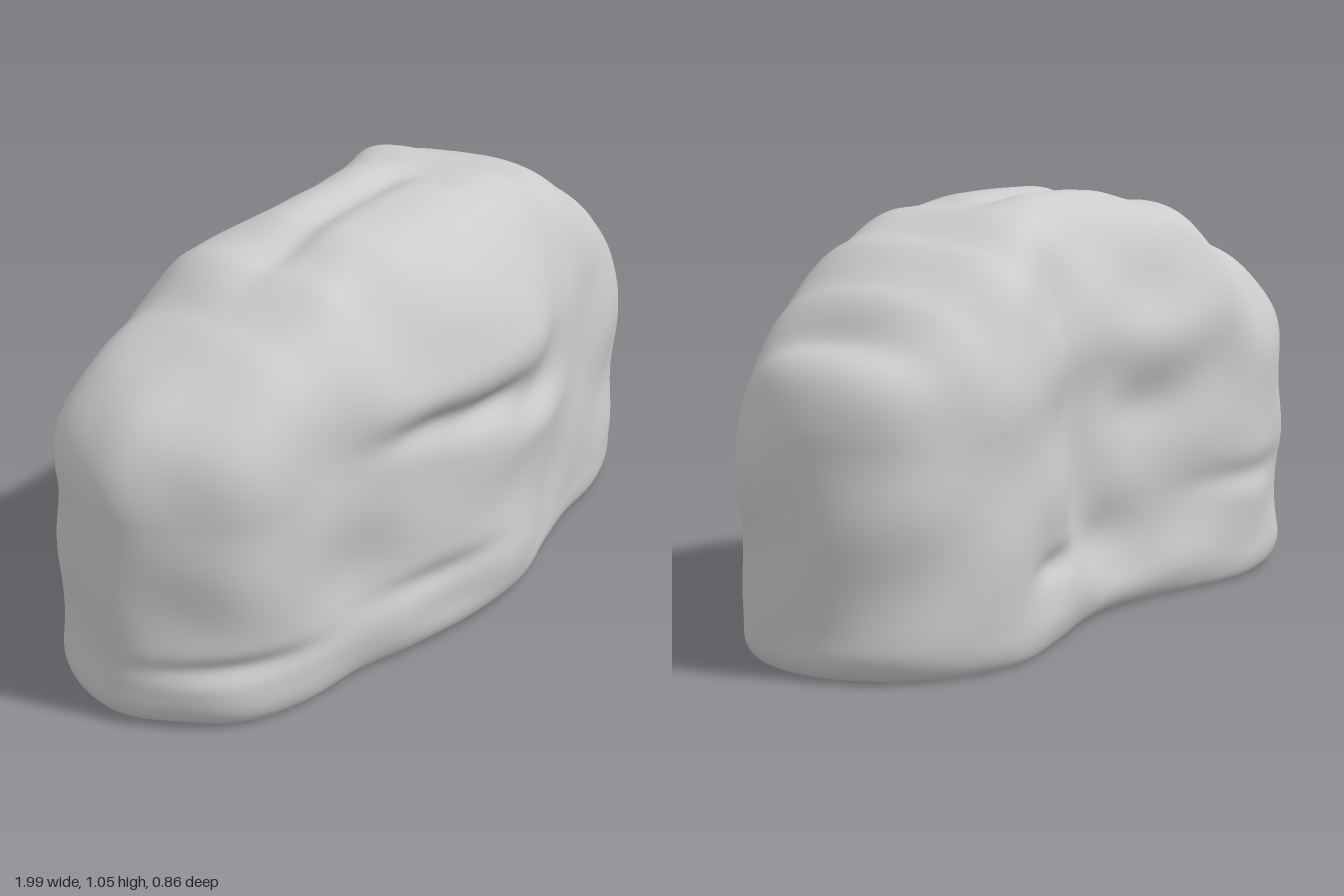
import * as THREE from 'three';

// Plan outline of the boulder, [x, z]
const OUTLINE = [
  [0.99, -0.08], [0.96, 0.08], [0.86, 0.21], [0.7, 0.28], [0.5, 0.31], [0.3, 0.36], [0.12, 0.41],
  [-0.1, 0.41], [-0.34, 0.36], [-0.5, 0.31], [-0.7, 0.28], [-0.85, 0.21], [-0.94, 0.08],
  [-0.99, -0.06], [-0.95, -0.21], [-0.85, -0.33], [-0.7, -0.39], [-0.55, -0.41], [-0.38, -0.38],
  [-0.2, -0.345], [0, -0.325], [0.2, -0.345], [0.4, -0.39], [0.64, -0.42], [0.85, -0.34], [0.95, -0.22],
];

// Crest height along x
const CREST = [[-1, 0.92], [-0.85, 0.92], [-0.6, 0.94], [-0.4, 1.01], [-0.2, 1.04], [0.05, 1.05],
  [0.3, 1.03], [0.5, 0.98], [0.7, 0.92], [0.82, 0.87], [1, 0.91]];

// Dents (negative) and swellings (positive) of the walls: centre, amount, radii in x and y
const WALL_RELIEF = [
  [-0.28, 0.62, 0.38, -0.03, 0.14, 0.045], // ledge across the front
  [-0.05, 0.59, 0.4, -0.035, 0.16, 0.045],
  [0.15, 0.54, 0.38, -0.02, 0.12, 0.05],
  [-0.08, 0.69, 0.38, 0.022, 0.3, 0.07],
  [0.2, 0.46, 0.36, 0.015, 0.14, 0.06],
  [-0.25, 0.2, 0.36, -0.016, 0.2, 0.035],
  [-0.85, 0.16, 0.2, -0.02, 0.2, 0.03],
  [0.82, 0.78, -0.02, -0.018, 0.045, 0.1], // notch above one end
  [0.92, 0.7, -0.05, 0.012, 0.06, 0.08],
  [0.27, 0.68, -0.37, -0.025, 0.08, 0.2], // groove running down the back
  [0.2, 0.4, -0.36, -0.03, 0.09, 0.18],
  [0.06, 0.2, -0.33, -0.035, 0.15, 0.09],
  [0.38, 0.2, -0.4, -0.02, 0.12, 0.035],
  [-0.12, 0.52, -0.35, -0.025, 0.15, 0.08],
  [-0.1, 0.7, -0.35, 0.018, 0.25, 0.08],
  [-0.55, 0.28, -0.4, -0.018, 0.2, 0.04],
];

// Curved step on the top: x, z, amount, radii in x and z
const TOP_RELIEF = [
  [-0.2, -0.02, -0.02, 0.25, 0.045],
  [0.1, -0.02, -0.015, 0.12, 0.045],
  [0.2, 0.05, -0.01, 0.05, 0.07],
  [-0.1, -0.13, 0.008, 0.35, 0.07],
];

function crestAt(x) {
  let i = 0;
  while (i < CREST.length - 2 && x > CREST[i + 1][0]) i++;
  const [x0, y0] = CREST[i], [x1, y1] = CREST[i + 1];
  return y0 + (y1 - y0) * THREE.MathUtils.smoothstep(x, x0, x1);
}

const bump = (...offsets) => Math.exp(-offsets.reduce((sum, o) => sum + o * o, 0));

// Soft weathering plus the listed relief
function relief(x, y, z) {
  let d = 0.006 * Math.sin(7 * x + 3 * z + 1) * Math.sin(9 * y + 4 * x)
    + 0.006 * Math.sin(20 * y + 5 * x + 4 * z) * Math.sin(5 * x + 6 * z + 2)
    + 0.005 * Math.sin(15 * x - 6 * y + 2) * Math.cos(13 * z + 9 * y);
  for (const [cx, cy, cz, amount, rx, ry] of WALL_RELIEF) {
    d += amount * bump((x - cx) / rx, (y - cy) / ry, (z - cz) / 0.2);
  }
  for (const [cx, cz, amount, rx, rz] of TOP_RELIEF) {
    d += amount * bump((x - cx) / rx, (y - 1.04) / 0.2, (z - cz) / rz);
  }
  return d * THREE.MathUtils.smoothstep(y, 0, 0.12);
}

// Dome fraction: full towards the ends, more sloped towards front and back
function dome(s, p) {
  const sideways = p.z * p.z / (p.x * p.x + p.z * p.z);
  const power = THREE.MathUtils.lerp(4, 2.7, sideways);
  return 0.6 + 0.4 * Math.sqrt(Math.max(0, 1 - s ** power));
}

function boulderGeometry() {
  const SEG = 220;
  const curve = new THREE.CatmullRomCurve3(OUTLINE.map(([x, z]) => new THREE.Vector3(x, 0, z)), true);
  const plan = curve.getSpacedPoints(SEG).slice(0, SEG);

  // Rows: scale of the outline, inward offset, height rule
  const rows = [];
  for (const s of [0.001, 0.3, 0.6, 0.85]) rows.push([s, s * 0.05, () => 0]);
  for (let i = 0; i <= 10; i++) { // rounded foot
    const a = (i / 10) * Math.PI / 2;
    rows.push([1, 0.055 * (1 - Math.sin(a)), () => 0.075 * (1 - Math.cos(a))]);
  }
  for (let i = 1; i <= 50; i++) { // side wall
    const t = i / 50;
    rows.push([1, 0, (x) => 0.075 + t * (0.6 * crestAt(x) - 0.075)]);
  }
  for (let i = 1; i <= 70; i++) { // domed top
    const s = Math.max(0.001, Math.cos((i / 70) * Math.PI / 2));
    rows.push([s, 0, (x, p) => crestAt(x) * dome(s, p)]);
  }

  const pos = [], index = [];
  rows.forEach(([s, inset, height], r) => {
    plan.forEach((p, i) => {
      const k = s - inset / p.length();
      pos.push(p.x * k, height(p.x * k, p), p.z * k);
      if (r === 0) return;
      const j = (i + 1) % SEG;
      const a = (r - 1) * SEG + i, b = (r - 1) * SEG + j, c = r * SEG + j, d = r * SEG + i;
      index.push(a, d, b, b, d, c);
    });
  });
  const geo = new THREE.BufferGeometry();
  geo.setAttribute('position', new THREE.Float32BufferAttribute(pos, 3));
  geo.setIndex(index);
  geo.computeVertexNormals();

  // Push the surface along its normals
  const P = geo.attributes.position, N = geo.attributes.normal;
  for (let i = 0; i < P.count; i++) {
    const x = P.getX(i), y = P.getY(i), z = P.getZ(i), d = relief(x, y, z);
    P.setXYZ(i, x + N.getX(i) * d, y + N.getY(i) * d, z + N.getZ(i) * d);
  }
  geo.computeVertexNormals();
  return geo;
}

export function createModel() {
  const group = new THREE.Group();
  group.name = 'rock';
  const boulder = new THREE.Mesh(boulderGeometry(), new THREE.MeshStandardMaterial({ color: 0xcccccc }));
  boulder.name = 'boulder';
  group.add(boulder);
  return group;
}
